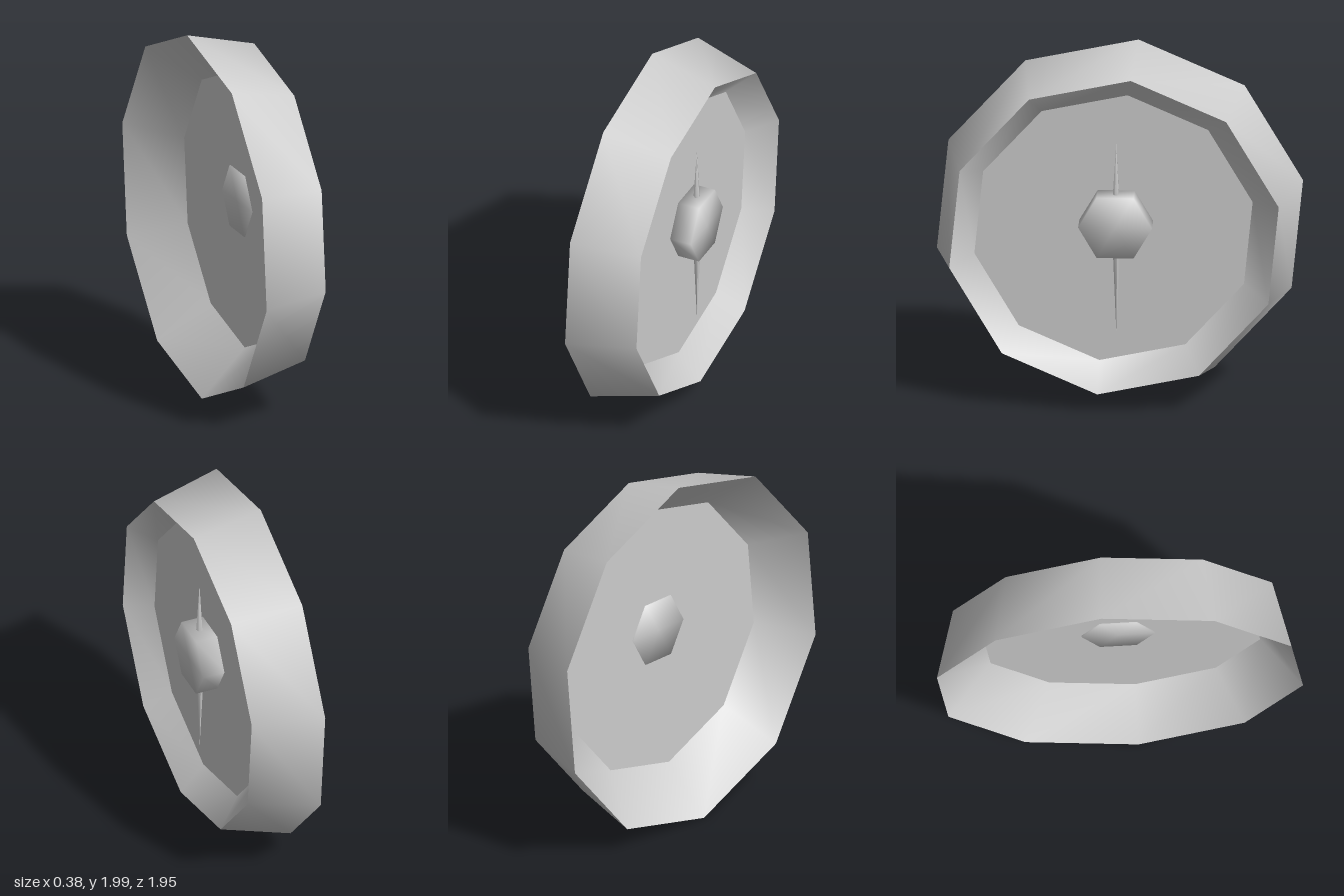
import * as THREE from 'three';
import { mergeVertices } from 'three/addons/utils/BufferGeometryUtils.js';

const SIDES = 10;
const grey = new THREE.MeshStandardMaterial({ color: 0xcccccc });
const greyDouble = new THREE.MeshStandardMaterial({ color: 0xcccccc, side: THREE.DoubleSide });

// Ten-sided ring around the x axis
function ring(x, radius, cy, cz) {
  return Array.from({ length: SIDES }, (_, i) => {
    const t = (i * 36 - 5.7) * Math.PI / 180;
    return [x, cy + radius * Math.cos(t), cz + radius * Math.sin(t)];
  });
}

function surface(name, points, index, material) {
  const geometry = new THREE.BufferGeometry();
  geometry.setAttribute('position', new THREE.Float32BufferAttribute(points.flat(), 3));
  geometry.setIndex(index);
  geometry.computeVertexNormals();
  const mesh = new THREE.Mesh(geometry, material);
  mesh.name = name;
  return mesh;
}

// Wall joining two rings, smooth around the circumference
function band(name, a, b) {
  const index = [];
  for (let i = 0; i < SIDES; i++) {
    const j = (i + 1) % SIDES;
    index.push(i, j, SIDES + j, i, SIDES + j, SIDES + i);
  }
  return surface(name, [...a, ...b], index, grey);
}

export function createModel() {
  const model = new THREE.Group();
  model.name = 'dial';

  // Tapered rim with sharp edges, and the recessed face inside it
  const back = ring(-0.19, 1.0, 1.0, 0);
  const front = ring(0.19, 0.9, 1.007, 0.01);
  const seat = ring(0.06, 0.76, 1.015, 0.02);
  model.add(band('outerRim', back, front));
  model.add(band('frontBevel', front, seat));
  model.add(band('backBevel', seat, back));

  const fan = [];
  for (let i = 1; i < SIDES - 1; i++) fan.push(0, i, i + 1);
  model.add(surface('face', seat, fan, greyDouble));

  // Six-sided hub with softened shading
  let hubGeometry = new THREE.CylinderGeometry(0.197, 0.197, 0.13, 6);
  hubGeometry.deleteAttribute('normal');
  hubGeometry.deleteAttribute('uv');
  hubGeometry = mergeVertices(hubGeometry);
  hubGeometry.computeVertexNormals();
  hubGeometry.rotateZ(-Math.PI / 2);
  const hub = new THREE.Mesh(hubGeometry, grey);
  hub.name = 'hub';
  hub.position.set(0.118, 1.058, 0.005);
  model.add(hub);

  // Slender hands pointing up and down from the hub
  for (const [name, length, dir] of [['upperHand', 0.46, 1], ['lowerHand', 0.61, -1]]) {
    const hand = new THREE.Mesh(new THREE.ConeGeometry(0.028, length, 5), grey);
    hand.name = name;
    hand.position.set(0.122, 1.06 + dir * length / 2, 0.002);
    if (dir < 0) hand.rotation.x = Math.PI;
    model.add(hand);
  }
  return model;
}
